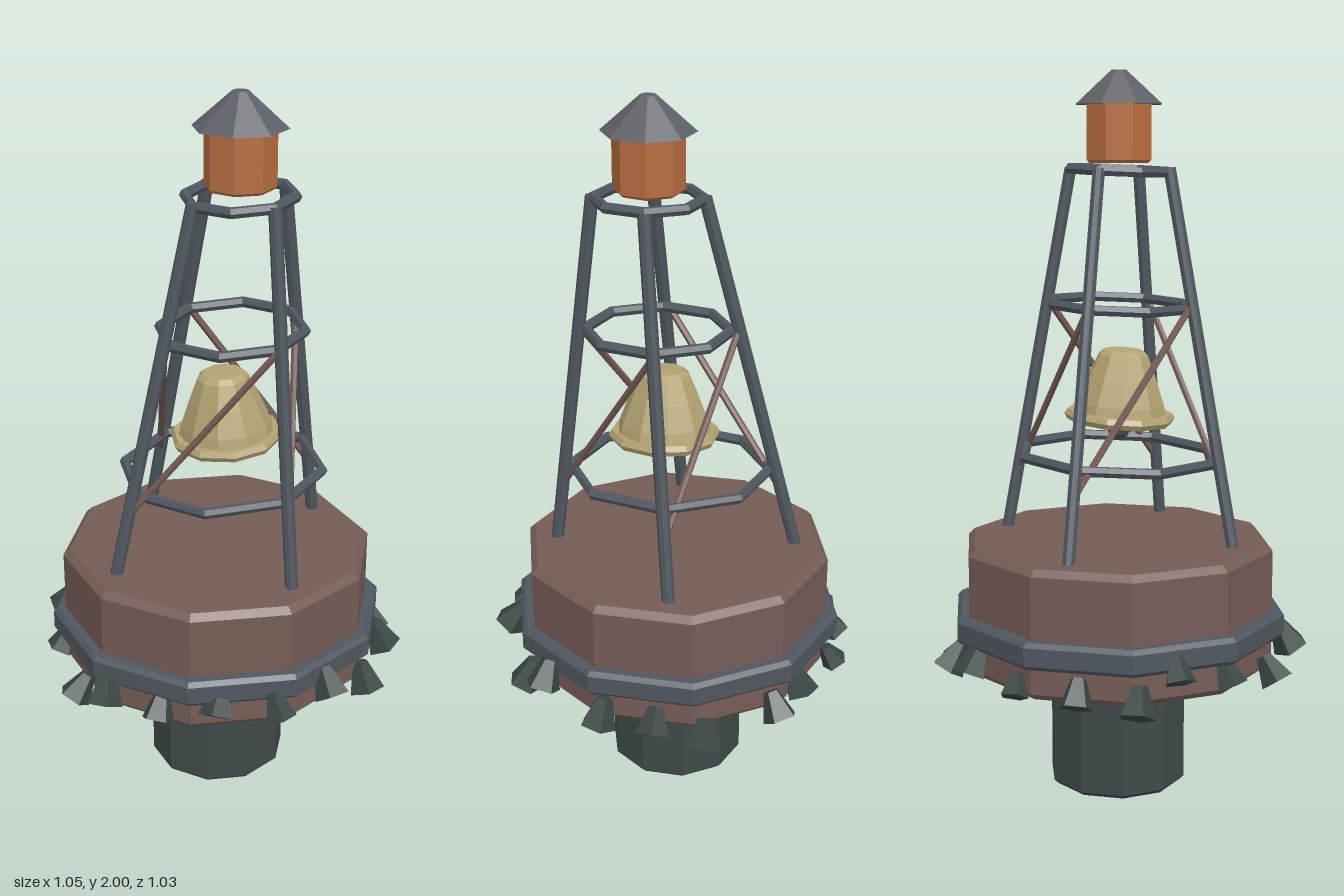
import * as THREE from 'three';

const mat = (color, side = THREE.FrontSide) =>
  new THREE.MeshStandardMaterial({ color, flatShading: true, side });

const steel = mat(0x50575f), rust = mat(0x755c56), rod = mat(0x745a54);
const weed = mat(0x3f4a49), shell = mat(0x3a4645), brass = mat(0xb3a372, THREE.DoubleSide);
const amber = mat(0xb86d40), slate = mat(0x5e6067), iron = mat(0x4a4d55);

// Small repeatable number source
let seed = 7;
const rand = () => ((seed = (seed * 16807) % 2147483647) / 2147483647) * 2 - 1;

function add(parent, name, geometry, material, x = 0, y = 0, z = 0) {
  const mesh = new THREE.Mesh(geometry, material);
  mesh.name = name;
  mesh.position.set(x, y, z);
  parent.add(mesh);
  return mesh;
}

// Closed drum with chamfered rims, centred on the float axis
function drum(r, y0, y1, bevel, sides) {
  const p = [[0, y0], [r - bevel, y0], [r, y0 + bevel], [r, y1 - bevel], [r - bevel, y1], [0, y1]];
  return new THREE.LatheGeometry(p.map(([a, b]) => new THREE.Vector2(a, b)), sides);
}

// Straight bar between two points
function bar(parent, name, a, b, r, material, sides = 8) {
  const dir = b.clone().sub(a);
  const mesh = add(parent, name, new THREE.CylinderGeometry(r, r, dir.length(), sides), material);
  mesh.position.copy(a).add(b).multiplyScalar(0.5);
  mesh.quaternion.setFromUnitVectors(new THREE.Vector3(0, 1, 0), dir.normalize());
  return mesh;
}

// Point on a leg of the leaning, tapering tower
function legPoint([sx, sz], y) {
  const t = (y - 0.71) / 1.02;
  const half = 0.242 - 0.137 * t;
  return new THREE.Vector3(-0.004 + 0.064 * t + sx * half, y, 0.015 + 0.033 * t + sz * half);
}

export function createModel() {
  const model = new THREE.Group();
  model.name = 'bellBuoy';

  // Float, fender band and ballast column
  const cx = -0.006, cz = 0.015;
  add(model, 'ballastColumn', drum(0.195, 0, 0.38, 0.012, 10), weed, cx, 0, cz);
  add(model, 'floatBody', drum(0.441, 0.355, 0.71, 0.018, 10), rust, cx, 0, cz);
  add(model, 'fenderBand', drum(0.476, 0.448, 0.522, 0.012, 10), steel, cx, 0, cz);

  // Barnacles round the waterline: x, y, z
  const barnacles = new THREE.Group();
  barnacles.name = 'barnacles';
  model.add(barnacles);
  const spots = [
    [-0.25, 0.40, -0.38], [-0.065, 0.42, -0.43], [0.045, 0.40, -0.455], [0.235, 0.35, -0.37],
    [0.345, 0.40, -0.29], [0.425, 0.40, -0.16], [0.465, 0.45, 0.03], [0.435, 0.38, 0.15],
    [0.35, 0.46, 0.32], [0.225, 0.44, 0.425], [0.07, 0.45, 0.45], [-0.09, 0.42, 0.45],
    [-0.245, 0.44, 0.425], [-0.34, 0.38, 0.33], [-0.43, 0.42, 0.15], [-0.465, 0.46, -0.01],
    [-0.46, 0.385, -0.12], [-0.375, 0.40, -0.255],
  ];
  for (const [x, y, z] of spots) {
    const size = 1 + 0.15 * rand();
    const geo = new THREE.CylinderGeometry(0.02 * size, 0.046 * size, 0.075 * size, 5);
    const b = add(barnacles, 'barnacle', geo, shell, x, y, z);
    const inUp = new THREE.Vector3(-x, 0, -z).normalize().multiplyScalar(0.55);
    inUp.add(new THREE.Vector3(0.25 * rand(), 1, 0.25 * rand())).normalize();
    b.quaternion.setFromUnitVectors(new THREE.Vector3(0, 1, 0), inUp);
    b.rotateY(3 * rand());
  }

  // Tower legs with one diagonal brace per side
  const tower = new THREE.Group();
  tower.name = 'tower';
  model.add(tower);
  const corners = [[-1, 1], [1, 1], [1, -1], [-1, -1]];
  corners.forEach((c, i) => {
    bar(tower, 'leg', legPoint(c, 0.69), legPoint(c, 1.735), 0.018, steel);
    bar(tower, 'brace', legPoint(c, 0.88), legPoint(corners[(i + 1) % 4], 1.37), 0.01, rod, 6);
  });

  // Octagonal hoops: radius, x, y, z
  for (const [r, x, y, z] of [[0.28, 0.01, 0.945, 0.022], [0.198, 0.038, 1.362, 0.038], [0.146, 0.06, 1.73, 0.047]]) {
    const hoop = add(tower, 'hoop', new THREE.TorusGeometry(r, 0.015, 6, 8).rotateX(Math.PI / 2), steel, x, y, z);
    hoop.rotation.set(0.03, 0, 0.03);
  }

  // Bell with rolled lip and clapper
  const bell = new THREE.Group();
  bell.name = 'bell';
  bell.position.set(0.022, 1.05, 0.033);
  bell.rotation.set(0.05, 0, 0.05);
  model.add(bell);
  const profile = [[0.135, 0], [0.125, 0.04], [0.098, 0.11], [0.07, 0.175], [0.055, 0.187], [0, 0.19]];
  add(bell, 'bellBody', new THREE.LatheGeometry(profile.map(([a, b]) => new THREE.Vector2(a, b)), 10), brass);
  add(bell, 'bellLip', new THREE.TorusGeometry(0.139, 0.017, 6, 10).rotateX(Math.PI / 2), brass);
  add(bell, 'clapperRod', new THREE.CylinderGeometry(0.008, 0.008, 0.2, 6), iron, 0, 0.08, 0);
  add(bell, 'clapper', new THREE.SphereGeometry(0.034, 8, 6), iron, 0, -0.034, 0);

  // Lantern and its roof
  const lx = 0.06, lz = 0.046;
  add(model, 'lantern', drum(0.096, 1.75, 1.925, 0.008, 8), amber, lx, 0, lz);
  add(model, 'lanternRoof', new THREE.CylinderGeometry(0.022, 0.127, 0.092, 8), slate, lx, 1.954, lz);

  return model;
}
